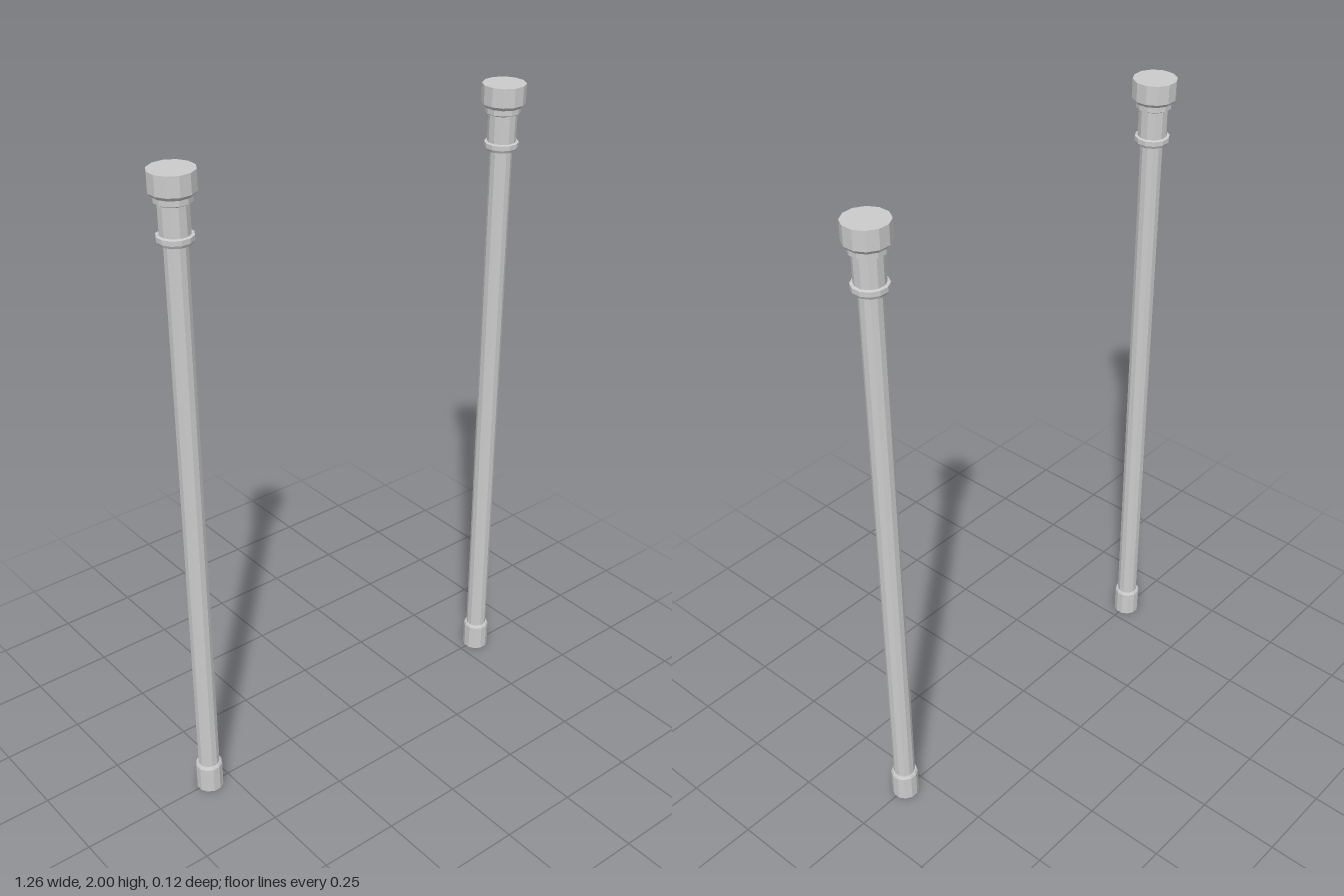
import * as THREE from 'three';

const SIDES = 12;
const material = new THREE.MeshStandardMaterial({ color: 0xcccccc, flatShading: true });

// Turned twelve-sided part with flats facing the axes; profile is [flat radius, y] from bottom to top
function turned(name, profile) {
  const toCorner = 1 / Math.cos(Math.PI / SIDES);
  const points = profile.map(([r, y]) => new THREE.Vector2(r * toCorner, y));
  const geometry = new THREE.LatheGeometry(points, SIDES, Math.PI / SIDES);
  const mesh = new THREE.Mesh(geometry, material);
  mesh.name = name;
  return mesh;
}

function createPole(name, x) {
  const pole = new THREE.Group();
  pole.name = name;
  pole.position.x = x;
  pole.add(
    // Sleeve around the foot, slightly bevelled at the top
    turned('foot', [[0, 0], [0.04, 0], [0.04, 0.085], [0.036, 0.093], [0.032, 0.093]]),
    // Long straight shaft
    turned('shaft', [[0.032, 0.09], [0.032, 1.81]]),
    // Ring below the neck
    turned('collar', [[0.032, 1.806], [0.045, 1.806], [0.049, 1.814], [0.049, 1.828], [0.041, 1.83]]),
    // Neck with a thin lip under the head
    turned('neck', [[0.041, 1.828], [0.041, 1.912], [0.05, 1.917], [0.05, 1.936]]),
    // Wide head with a chamfered underside
    turned('head', [[0.05, 1.934], [0.054, 1.934], [0.062, 1.944], [0.062, 2], [0, 2]])
  );
  return pole;
}

export function createModel() {
  const model = new THREE.Group();
  model.name = 'polePair';
  model.add(createPole('leftPole', 0.566), createPole('rightPole', -0.566));
  return model;
}
